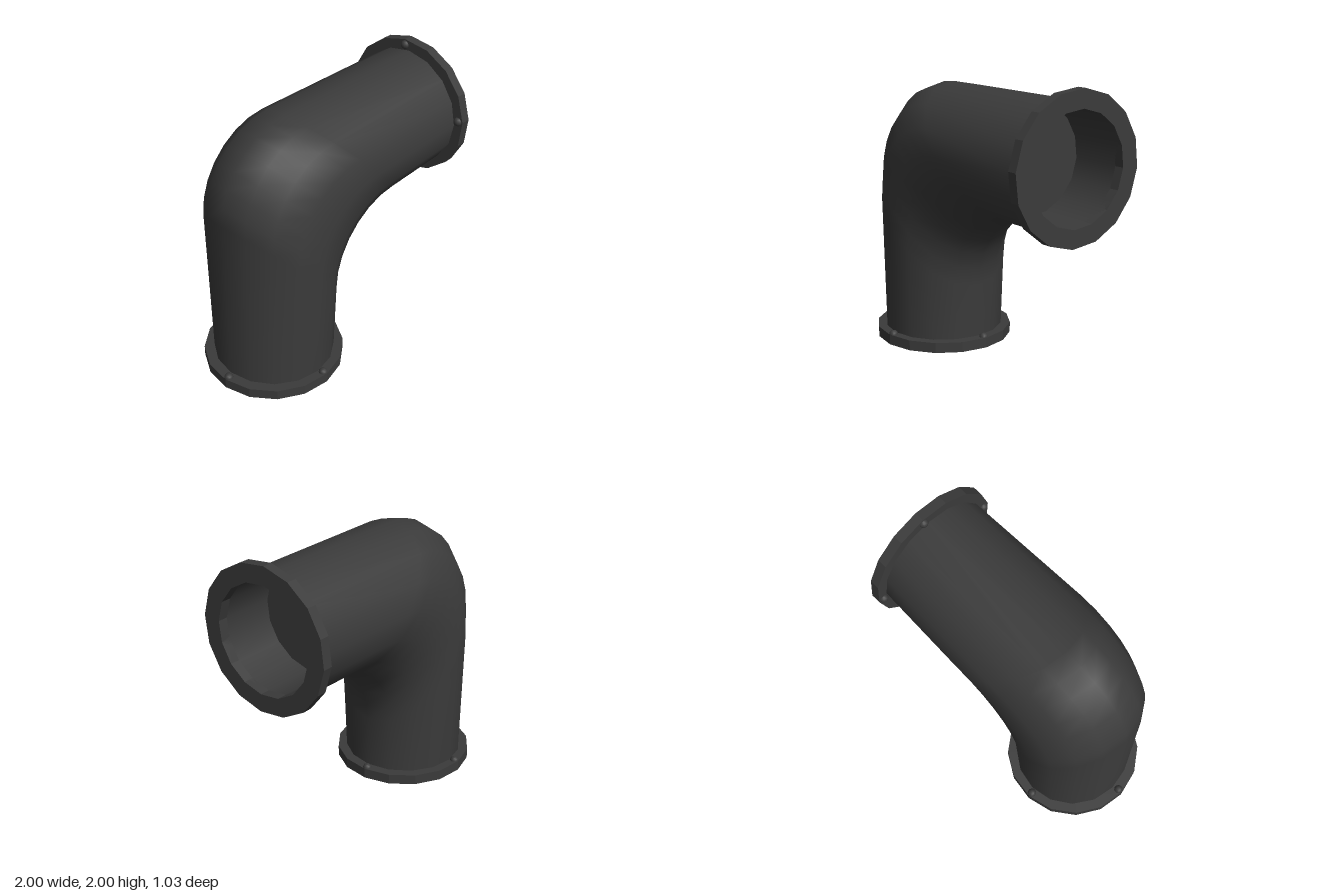
import * as THREE from 'three';
import { toCreasedNormals } from 'three/addons/utils/BufferGeometryUtils.js';

const SIDES = 16;
const iron = new THREE.MeshStandardMaterial({ color: 0x3b3b3b, side: THREE.DoubleSide });
iron.name = 'darkIron';

function add(group, name, geometry) {
  const mesh = new THREE.Mesh(geometry, iron);
  mesh.name = name;
  group.add(mesh);
  return mesh;
}

// Outer pipe: each lengthwise line runs up, rounds the mitred corner, and runs to +x
function elbowGeometry() {
  const bend = 0.58, steps = 7, columns = steps + 3;
  const pos = [], index = [];
  for (let i = 0; i < SIDES; i++) {
    const a = (i / SIDES) * Math.PI * 2, c = Math.cos(a), s = Math.sin(a);
    const cx = -0.4875 + 0.4325 * c, cy = 1.485 - 0.44 * c;
    pos.push(-0.4925 + 0.4325 * c, 0.04, 0.44 * s);
    for (let j = 0; j <= steps; j++) {
      const t = (j / steps) * Math.PI / 2;
      pos.push(cx + bend * (1 - Math.cos(t)), cy - bend * (1 - Math.sin(t)), 0.468 * s);
    }
    pos.push(0.97, cy, 0.44 * s);
  }
  for (let i = 0; i < SIDES; i++) {
    for (let j = 0; j < columns - 1; j++) {
      const a = i * columns + j, b = ((i + 1) % SIDES) * columns + j;
      index.push(a, a + 1, b, b, a + 1, b + 1);
    }
  }
  const g = new THREE.BufferGeometry();
  g.setAttribute('position', new THREE.Float32BufferAttribute(pos, 3));
  g.setIndex(index);
  g.computeVertexNormals();
  return g;
}

function ringPoints(radius, turn) {
  return Array.from({ length: SIDES }, (_, i) => {
    const a = turn + (i / SIDES) * Math.PI * 2;
    return new THREE.Vector2(radius * Math.cos(a), radius * Math.sin(a));
  });
}

// Pipe mouth facing local +z: flange ring, bolt heads and recessed socket
function pipeMouth(name, radius, thickness, turn) {
  const group = new THREE.Group();
  group.name = name;
  const hole = 0.386, depth = 0.45;

  const ring = new THREE.Shape(ringPoints(radius, turn));
  ring.holes.push(new THREE.Path(ringPoints(hole, turn).reverse()));
  const flange = new THREE.ExtrudeGeometry(ring, { depth: thickness, bevelEnabled: false });
  add(group, 'flange', toCreasedNormals(flange, 0.1)).position.z = -thickness;

  const wall = new THREE.CylinderGeometry(hole, hole, depth, SIDES, 1, true);
  wall.rotateX(Math.PI / 2).rotateZ(turn);
  add(group, 'socketWall', wall).position.z = -depth / 2;
  add(group, 'socketEnd', new THREE.CircleGeometry(hole, SIDES, turn)).position.z = -depth;

  for (let i = 0; i < 4; i++) {
    const a = turn + i * Math.PI / 2;
    add(group, 'boltHead', new THREE.SphereGeometry(0.033, 12, 8))
      .position.set(0.473 * Math.cos(a), 0.473 * Math.sin(a), -thickness + 0.004);
  }
  return group;
}

export function createModel() {
  const model = new THREE.Group();
  model.name = 'pipeElbow';
  add(model, 'elbowPipe', elbowGeometry());

  const bottom = pipeMouth('bottomMouth', 0.507, 0.076, -0.05);
  bottom.rotation.x = Math.PI / 2;
  bottom.position.set(-0.494, 0, 0);

  const side = pipeMouth('sideMouth', 0.515, 0.072, -0.08);
  side.rotation.y = Math.PI / 2;
  side.position.set(1, 1.488, 0);

  model.add(bottom, side);
  return model;
}
